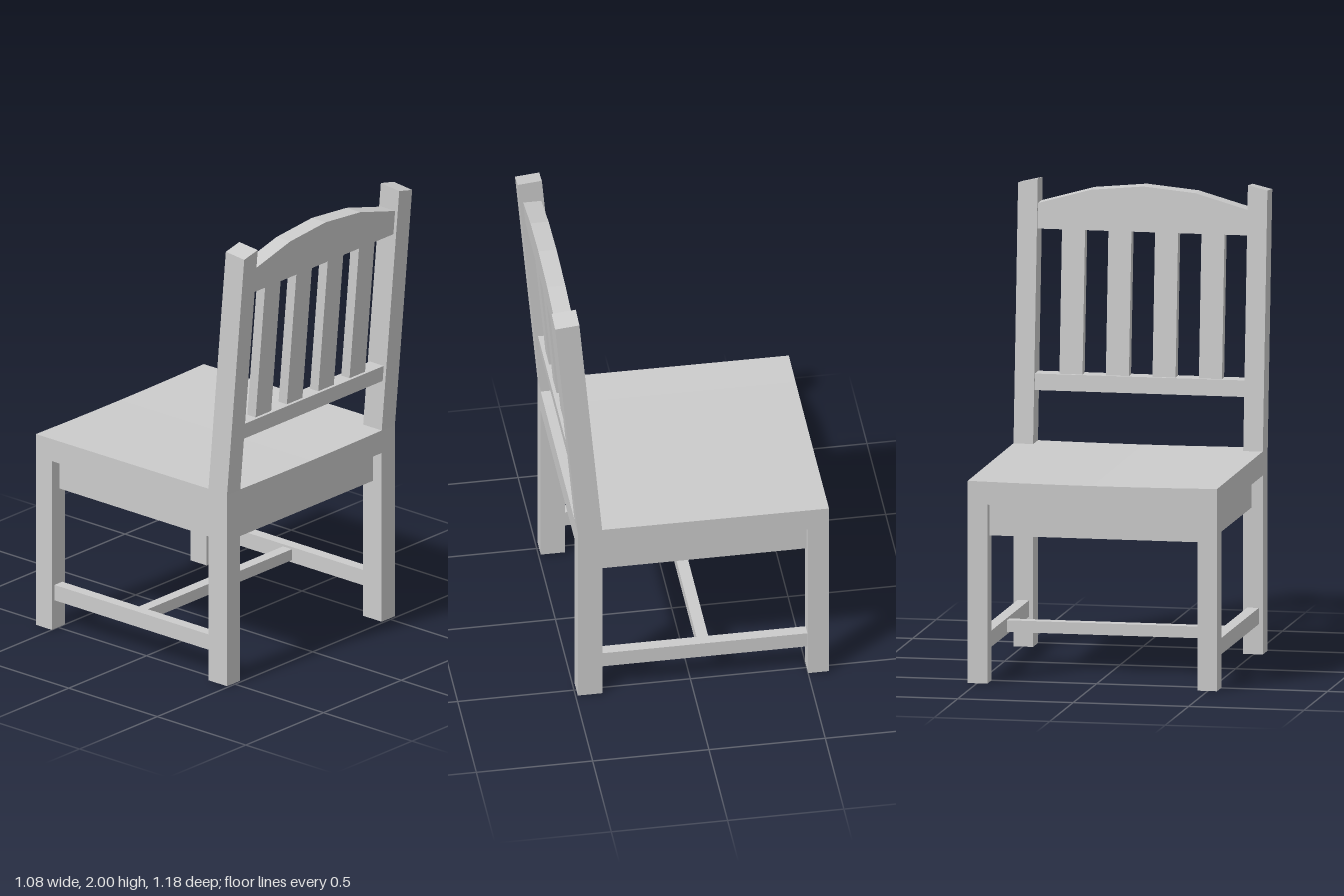
import * as THREE from 'three';

const material = new THREE.MeshStandardMaterial({ color: 0xcccccc, flatShading: true });
const SEAT_TOP = 0.87;
const LEAN = 0.0885; // backward slope of the backrest

export function createModel() {
  const group = new THREE.Group();

  const add = (name, geometry) => {
    geometry.computeVertexNormals();
    const mesh = new THREE.Mesh(geometry, material);
    mesh.name = name;
    group.add(mesh);
  };

  // Box given by its min and max on each axis
  const block = (x0, x1, y0, y1, z0, z1, segments = 1) =>
    new THREE.BoxGeometry(x1 - x0, y1 - y0, z1 - z0, segments, 1, segments)
      .translate((x0 + x1) / 2, (y0 + y1) / 2, (z0 + z1) / 2);

  // Move every vertex by a rule
  const warp = (geometry, rule) => {
    const p = geometry.attributes.position;
    const v = new THREE.Vector3();
    for (let i = 0; i < p.count; i++) {
      rule(v.fromBufferAttribute(p, i));
      p.setXYZ(i, v.x, v.y, v.z);
    }
    return geometry;
  };
  const lean = (geometry) => warp(geometry, (v) => { v.z += (v.y - SEAT_TOP) * LEAN; });

  // Seat slab with a very shallow scoop
  add('seat', warp(block(-0.54, 0.54, 0.77, SEAT_TOP, -0.59, 0.49, 6), (v) => {
    if (v.y > 0.8) v.y = 0.874 - 0.005 * (1 - (v.x / 0.54) ** 2) - 0.004 * (0.49 - v.z) / 1.08;
  }));

  // Recessed apron block below the seat
  add('apron', block(-0.49, 0.49, 0.63, 0.775, -0.54, 0.44));

  for (const [side, s] of [['left', 1], ['right', -1]]) {
    const inner = s * 0.455, outer = s * 0.54;
    const x0 = Math.min(inner, outer), x1 = Math.max(inner, outer);

    // Legs
    add(side + 'FrontLeg', block(x0, x1, 0, 0.77, -0.59, -0.5));
    add(side + 'BackLeg', block(x0, x1, 0, 0.77, 0.385, 0.49));

    // Leaning post with a top bevelled outward and backward
    add(side + 'BackPost', lean(warp(block(x0, x1, 0.865, 2, 0.385, 0.49), (v) => {
      if (v.y > 1.5) v.y -= (Math.abs(v.x) > 0.5 ? 0.02 : 0) + (v.z > 0.44 ? 0.01 : 0);
    })));

    // Side stretcher
    const c = s * 0.4975;
    add(side + 'Stretcher', block(c - 0.025, c + 0.025, 0.13, 0.2, -0.5, 0.385));
  }

  // Cross stretcher joining the side stretchers
  add('crossStretcher', block(-0.475, 0.475, 0.14, 0.19, -0.083, -0.033));

  // Lower back rail
  add('lowerBackRail', lean(block(-0.455, 0.455, 1.1, 1.17, 0.397, 0.475)));

  // Arched top rail
  const arch = new THREE.Shape([
    [-0.455, 1.785], [0.455, 1.785], [0.455, 1.893], [0.225, 1.957],
    [0, 1.978], [-0.225, 1.957], [-0.455, 1.893],
  ].map(([x, y]) => new THREE.Vector2(x, y)));
  add('topBackRail', lean(
    new THREE.ExtrudeGeometry(arch, { depth: 0.078, bevelEnabled: false }).translate(0, 0, 0.397)));

  // Vertical slats
  for (const x of [-0.302, -0.101, 0.101, 0.302]) {
    add('backSlat', lean(block(x - 0.05, x + 0.05, 1.165, 1.79, 0.413, 0.46)));
  }

  return group;
}
